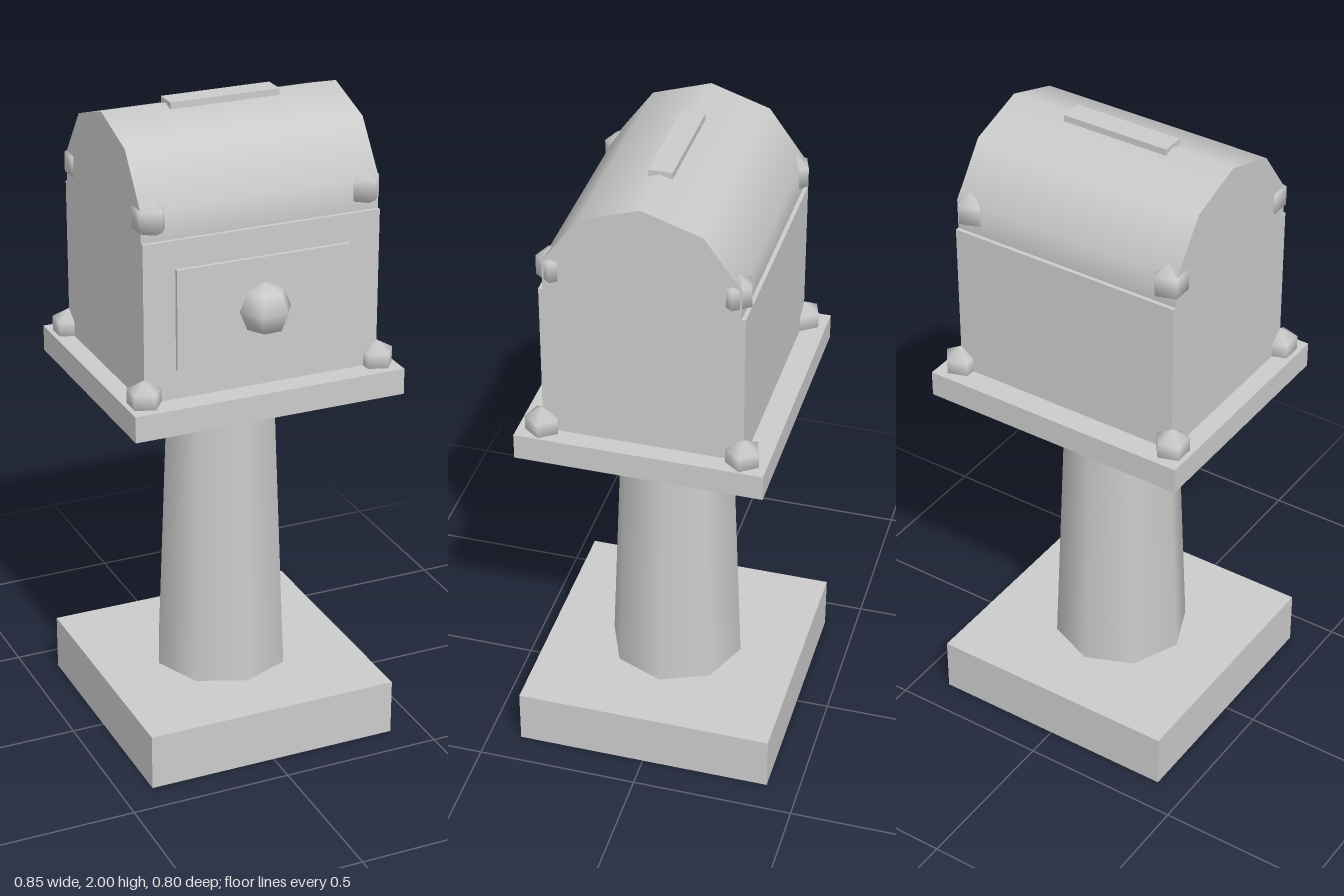
import * as THREE from 'three';

const material = new THREE.MeshStandardMaterial({ color: 0xcccccc });

export function createModel() {
  const model = new THREE.Group();
  model.name = 'postMountedBox';

  const add = (name, geometry, x, y, z) => {
    const mesh = new THREE.Mesh(geometry, material);
    mesh.name = name;
    mesh.position.set(x, y, z);
    model.add(mesh);
    return mesh;
  };

  // Box given by its width, depth and vertical extent
  const block = (name, width, depth, bottom, top, z = 0) =>
    add(name, new THREE.BoxGeometry(width, top - bottom, depth), 0, (bottom + top) / 2, z);

  // Stand: foot, tapered eight-sided post and platform
  block('base', 0.8, 0.8, 0, 0.175);
  add('post', new THREE.CylinderGeometry(0.17, 0.21, 0.955, 8), 0, 0.6525, 0);
  block('platform', 0.85, 0.74, 1.13, 1.21);

  // Body with a ten-sided barrel roof, one ridge pointing straight up
  block('body', 0.735, 0.595, 1.21, 1.69);
  const roof = new THREE.CylinderGeometry(0.3, 0.3, 0.735, 10, 1, false, Math.PI / 2);
  roof.rotateZ(Math.PI / 2);
  add('roof', roof, 0, 1.69, 0);
  block('topPlate', 0.34, 0.07, 1.98, 2.0);

  // Front door and its knob
  block('door', 0.54, 0.02, 1.3, 1.605, 0.3);
  add('doorKnob', new THREE.SphereGeometry(0.08, 6, 4), 0, 1.45, 0.315);

  // Faceted studs at the lower and upper corners, each with one edge towards +x
  const stud = new THREE.SphereGeometry(0.06, 5, 3);
  stud.rotateY(Math.PI);
  for (const sx of [-1, 1]) {
    for (const sz of [-1, 1]) {
      add('lowerStud', stud, sx * 0.368, 1.225, sz * 0.298);
      add('upperStud', stud, sx * 0.33, 1.753, sz * 0.26);
    }
  }

  return model;
}
